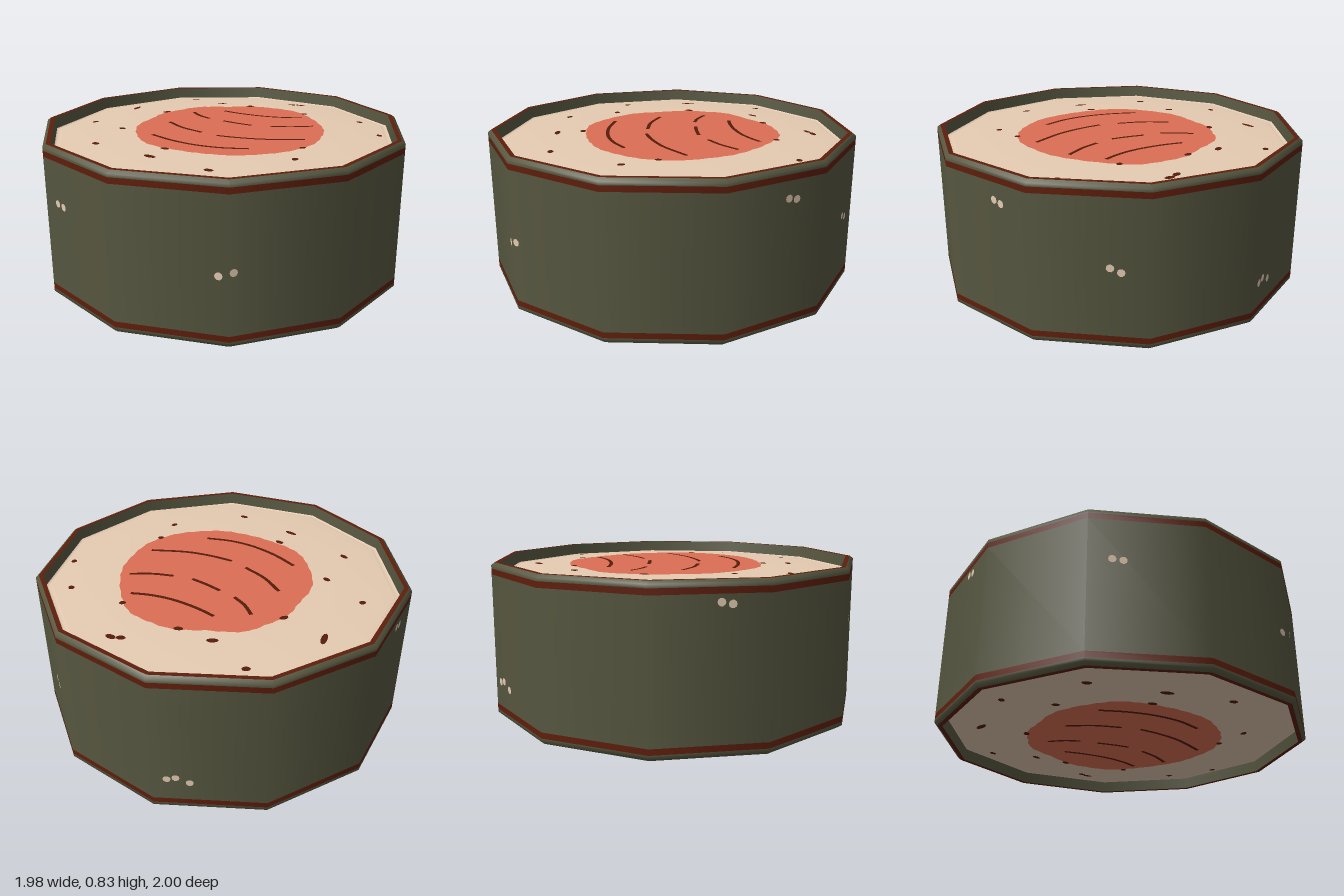
import * as THREE from 'three';

const SIDES = 11, H = 0.83, SHIFT = -0.02, R = 1.01;
const STEP = (Math.PI * 2) / SIDES;

// Rice profile: flat in the middle, sinking gently towards the wall
const FLAT_R = 0.6, FLAT_Y = 0.789, EDGE_R = 0.93, EDGE_Y = 0.767;
const riceHeight = (r) =>
  THREE.MathUtils.clamp(THREE.MathUtils.mapLinear(r, FLAT_R, EDGE_R, FLAT_Y, EDGE_Y), EDGE_Y, FLAT_Y);

const material = (name, color) => {
  const m = new THREE.MeshStandardMaterial({ color });
  m.name = name;
  return m;
};

export function createModel() {
  const seaweed = material('seaweed green', 0x565640);
  const trim = material('red brown trim', 0x5f1e0b);
  const rice = material('rice cream', 0xe5cbb2);
  const salmon = material('salmon', 0xdc6e54);
  const dark = material('dark brown', 0x551c0b);

  const model = new THREE.Group();
  model.name = 'riceRoll';
  const add = (name, geometry, mat) => {
    const mesh = new THREE.Mesh(geometry, mat);
    mesh.name = name;
    model.add(mesh);
    return mesh;
  };

  // Eleven-sided turned band with a corner on +x
  const ring = (name, pts, mat) => {
    const profile = pts.map(([r, y]) => new THREE.Vector2(r, y));
    add(name, new THREE.LatheGeometry(profile, SIDES, Math.PI / 2), mat).position.x = SHIFT;
  };
  // The same band at the top and mirrored to the bottom
  const ringPair = (name, pts, mat) => {
    ring(name + 'Top', pts, mat);
    ring(name + 'Bottom', pts.map(([r, y]) => [r, H - y]).reverse(), mat);
  };

  // Wrapper, trim stripes, rims and recessed rice
  ring('wrapper', [[R, 0.063], [R, H - 0.063]], seaweed);
  ringPair('trimStripe', [[R, H - 0.063], [R, 0.798]], trim);
  ringPair('rimEdge', [[R, 0.798], [R, 0.816], [0.992, H]], seaweed);
  ringPair('rimTrim', [[0.992, H], [0.968, H]], trim);
  ringPair('innerWall', [[0.968, H], [0.96, 0.768]], seaweed);
  ringPair('riceLip', [[0.96, 0.768], [0.95, 0.762], [EDGE_R, EDGE_Y]], rice);
  ringPair('riceFace', [[EDGE_R, EDGE_Y], [FLAT_R, FLAT_Y], [0, FLAT_Y]], rice);

  // Thin details drawn in (x, z), laid on both rice faces
  const plates = (name, xz, mat, lift) => {
    for (const side of [1, -1]) {
      const shape = new THREE.Shape(xz.map(([x, z]) => new THREE.Vector2(x, -side * z)));
      const g = new THREE.ShapeGeometry(shape);
      g.rotateX((-side * Math.PI) / 2);
      const p = g.attributes.position;
      for (let i = 0; i < p.count; i++) {
        const y = riceHeight(Math.hypot(p.getX(i) - SHIFT, p.getZ(i))) + lift;
        p.setY(i, side > 0 ? y : H - y);
      }
      add(name + (side > 0 ? 'Top' : 'Bottom'), g, mat);
    }
  };
  const curveThrough = (pts, closed = false) =>
    new THREE.CatmullRomCurve3(pts.map(([x, z]) => new THREE.Vector3(x, 0, z)), closed);

  // Salmon centre with a slightly ragged edge
  const outline = [
    [-0.08, -0.55], [0.1, -0.53], [0.27, -0.5], [0.4, -0.42], [0.5, -0.3], [0.53, -0.15],
    [0.54, 0.05], [0.5, 0.2], [0.42, 0.35], [0.3, 0.46], [0.15, 0.51], [0, 0.52],
    [-0.15, 0.48], [-0.28, 0.4], [-0.4, 0.3], [-0.48, 0.18], [-0.5, 0.05], [-0.49, -0.15],
    [-0.4, -0.3], [-0.32, -0.42], [-0.2, -0.5],
  ];
  const edge = curveThrough(outline, true).getPoints(120).slice(0, -1).map((p, i) => {
    const k = 1 + 0.006 * Math.sin(i * 1.9) + 0.004 * Math.sin(i * 0.7);
    return [p.x * k, p.z * k];
  });
  plates('salmon', edge, salmon, 0.003);

  // Curved grain lines across the salmon
  const strokes = [
    [[-0.13, -0.41], [-0.105, -0.32], [-0.06, -0.24]],
    [[0.06, -0.41], [0.14, -0.33], [0.27, -0.235], [0.38, -0.185], [0.48, -0.16]],
    [[-0.3, -0.2], [-0.24, -0.06], [-0.15, 0.06]],
    [[0.01, -0.17], [0.08, -0.1], [0.15, -0.04]],
    [[0.25, 0], [0.36, 0.03], [0.49, 0.04]],
    [[-0.42, 0.06], [-0.33, 0.19], [-0.22, 0.3], [-0.1, 0.375], [0.04, 0.42]],
    [[-0.08, 0.14], [0.02, 0.2], [0.16, 0.26], [0.37, 0.3]],
  ];
  for (const pts of strokes) {
    const curve = curveThrough(pts), left = [], right = [];
    for (let i = 0; i <= 16; i++) {
      const p = curve.getPoint(i / 16), t = curve.getTangent(i / 16), w = 0.01;
      left.push([p.x - t.z * w, p.z + t.x * w]);
      right.unshift([p.x + t.z * w, p.z - t.x * w]);
    }
    plates('grainLine', [...left, ...right], dark, 0.006);
  }

  // Dark seeds: x, z, half length, angle
  [
    [-0.06, -0.83], [0.08, -0.615, 0.03, 0.1], [0.24, -0.505, 0.025, 0.2], [0.52, -0.545, 0.025, 0.3],
    [0.57, -0.53, 0.03, 0.6], [0.52, -0.25, 0.018], [-0.46, -0.63, 0.045, -1.15], [-0.29, -0.45, 0.025, -0.4],
    [-0.72, -0.325, 0.02, -0.6], [-0.575, -0.1, 0.022, 1], [-0.725, 0.155, 0.026, 1], [-0.465, 0.455, 0.038, 0.8],
    [-0.38, 0.34, 0.026, 0.8], [-0.21, 0.705, 0.025, 0.6], [0.23, 0.62, 0.02, -0.8], [0.315, 0.45, 0.018, -0.6],
    [0.81, 0.235, 0.018, 1.4], [0.8, -0.055, 0.02, 1],
  ].forEach(([x, z, len = 0.022, a = 0]) => {
    const pts = [];
    for (let i = 0; i < 10; i++) {
      const t = (i / 10) * Math.PI * 2, u = Math.cos(t) * len, v = Math.sin(t) * 0.016;
      pts.push([x + u * Math.cos(a) - v * Math.sin(a), z + u * Math.sin(a) + v * Math.cos(a)]);
    }
    plates('seed', pts, dark, 0.006);
  });

  // Pale seeds on the wrapper: angle from +x towards +z in degrees, height
  const dot = new THREE.CircleGeometry(0.02, 10);
  [
    [101, 0.37], [97, 0.39], [12.5, 0.68], [9.8, 0.67], [338, 0.42], [335, 0.4],
    [154, 0.54], [157, 0.545], [210, 0.73], [207, 0.72], [284, 0.18], [288, 0.21], [290.5, 0.2],
  ].forEach(([deg, y]) => {
    const a = THREE.MathUtils.degToRad(deg);
    const mid = (Math.floor(a / STEP) + 0.5) * STEP;
    const r = (R * Math.cos(STEP / 2)) / Math.cos(a - mid) + 0.003;
    const mesh = add('wrapperSeed', dot, rice);
    mesh.position.set(Math.cos(a) * r + SHIFT, y, Math.sin(a) * r);
    mesh.rotation.y = Math.PI / 2 - mid;
  });

  return model;
}
